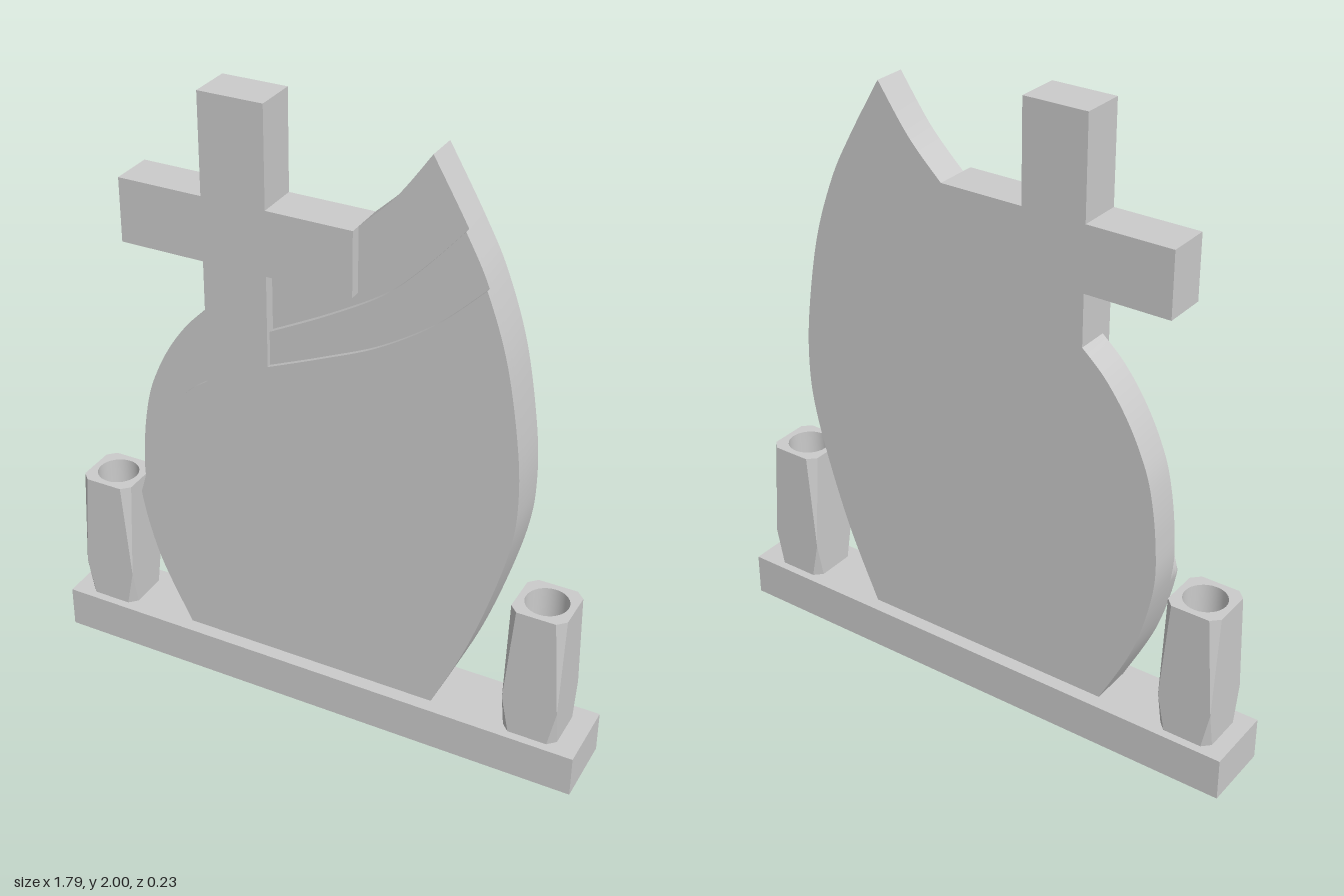
import * as THREE from 'three';
import { toCreasedNormals } from 'three/addons/utils/BufferGeometryUtils.js';

const stone = new THREE.MeshStandardMaterial({ color: 0xcccccc });
const stoneFlat = new THREE.MeshStandardMaterial({ color: 0xcccccc, flatShading: true });
const stoneDouble = new THREE.MeshStandardMaterial({ color: 0xcccccc, side: THREE.DoubleSide });

const BASE_TOP = 0.14;
const BACK = -0.07, FRONT = 0.07;
// Cross limits: post sides, arm ends, arm heights, foot of the post
const POST_L = -0.355, POST_R = -0.148, ARM_L = -0.63, ARM_R = 0.125;
const ARM_LOW = 1.48, ARM_TOP = 1.685, FOOT = 1.08;

const v = (x, y) => new THREE.Vector2(x, y);

// Smooth curve through the given x, y pairs
function curve(...pairs) {
  const spline = new THREE.SplineCurve(pairs.map(([x, y]) => v(x, y)));
  return spline.getPoints((pairs.length - 1) * 8);
}

function plate(name, points, z0, z1) {
  const geo = new THREE.ExtrudeGeometry(new THREE.Shape(points), { depth: z1 - z0, bevelEnabled: false });
  geo.translate(0, 0, z0);
  const mesh = new THREE.Mesh(toCreasedNormals(geo, 0.5), stone);
  mesh.name = name;
  return mesh;
}

// Leaf-shaped slab: three layers, stepping back along two sweeping curves
function createSlab() {
  const right = curve([0.41, 0.14], [0.51, 0.37], [0.587, 0.6], [0.638, 0.8], [0.652, 0.95],
    [0.641, 1.13], [0.595, 1.39], [0.525, 1.6], [0.45, 1.75], [0.34, 1.94]);
  const left = curve([-0.355, 1.315], [-0.43, 1.245], [-0.5, 1.15], [-0.555, 1.045], [-0.593, 0.935],
    [-0.618, 0.77], [-0.618, 0.6], [-0.56, 0.37], [-0.45, 0.14]);
  const rightUpTo = (y) => right.filter((p) => p.y <= y + 1e-6);
  const leftFrom = (y) => left.filter((p) => p.y < y - 1e-6);
  const notch = [v(POST_R, FOOT), v(POST_L, FOOT)];

  const slab = new THREE.Group();
  slab.name = 'slab';
  slab.add(plate('slabBackLayer', [
    ...right,
    ...curve([0.34, 1.94], [0.235, 1.795], [ARM_R, ARM_TOP]).slice(1),
    v(ARM_R, ARM_LOW), v(POST_R, ARM_LOW), ...notch, ...left,
  ], BACK, 0.035));
  slab.add(plate('slabMiddleLayer', [
    ...rightUpTo(1.75),
    ...curve([0.45, 1.75], [0.325, 1.607], [0.21, 1.5], [0.04, 1.395], [POST_R, 1.295]).slice(1),
    ...notch,
    ...curve([POST_L, 1.155], [-0.468, 1.015], [-0.56, 0.84], [-0.618, 0.6]),
    ...leftFrom(0.6),
  ], 0.035, 0.055));
  slab.add(plate('slabFrontLayer', [
    ...rightUpTo(1.6),
    ...curve([0.525, 1.6], [0.38, 1.46], [0.21, 1.345], [0.04, 1.265], [POST_R, 1.185]).slice(1),
    ...notch,
    ...curve([POST_L, FOOT], [-0.44, 1.01], [-0.535, 0.865], [-0.618, 0.6]).slice(1),
    ...leftFrom(0.6),
  ], 0.055, FRONT));
  return slab;
}

// Latin cross set into the slab
function createCross() {
  return plate('cross', [
    v(POST_L, FOOT), v(POST_R, FOOT), v(POST_R, ARM_LOW), v(ARM_R, ARM_LOW), v(ARM_R, ARM_TOP),
    v(POST_R, ARM_TOP), v(POST_R, 2), v(POST_L, 2), v(POST_L, ARM_TOP), v(ARM_L, ARM_TOP),
    v(ARM_L, ARM_LOW), v(POST_L, ARM_LOW),
  ], BACK, FRONT);
}

// Square with its corners cut by c
function cutSquare(h, c) {
  const k = h - c;
  return [[h, -k], [h, k], [k, h], [-k, h], [-h, k], [-h, -k], [-k, -h], [k, -h]];
}

// Square vase whose corner cuts taper to nothing low on the body
function createVase(name, x) {
  const half = 0.088, top = 0.595, radius = 0.067, depth = 0.2;
  const rings = [[BASE_TOP, 0.025], [0.265, 0], [top, 0.026]]
    .map(([y, c]) => cutSquare(half, c).map(([px, pz]) => [px, y, pz]));
  const pos = [];
  for (let r = 0; r < 2; r++) {
    for (let i = 0; i < 8; i++) {
      const j = (i + 1) % 8, lo = rings[r], up = rings[r + 1];
      pos.push(...lo[i], ...up[i], ...lo[j], ...up[i], ...up[j], ...lo[j]);
    }
  }
  const bodyGeo = new THREE.BufferGeometry();
  bodyGeo.setAttribute('position', new THREE.Float32BufferAttribute(pos, 3));
  bodyGeo.computeVertexNormals();

  const rimShape = new THREE.Shape(cutSquare(half, 0.026).map(([px, pz]) => v(px, pz)));
  rimShape.holes.push(new THREE.Path().absarc(0, 0, radius, 0, Math.PI * 2, true));
  const rimGeo = new THREE.ShapeGeometry(rimShape, 16).rotateX(-Math.PI / 2).translate(0, top, 0);
  const boreGeo = new THREE.CylinderGeometry(radius, radius, depth, 32, 1, true).translate(0, top - depth / 2, 0);
  const floorGeo = new THREE.CircleGeometry(radius, 32).rotateX(-Math.PI / 2).translate(0, top - depth, 0);

  const vase = new THREE.Group();
  vase.name = name;
  const parts = [['vaseBody', bodyGeo, stoneFlat], ['vaseRim', rimGeo, stone],
    ['vaseBore', boreGeo, stoneDouble], ['vaseFloor', floorGeo, stone]];
  for (const [partName, geo, material] of parts) {
    const mesh = new THREE.Mesh(geo, material);
    mesh.name = partName;
    vase.add(mesh);
  }
  vase.position.x = x;
  return vase;
}

export function createModel() {
  const model = new THREE.Group();
  model.name = 'memorial';

  const base = new THREE.Mesh(new THREE.BoxGeometry(1.79, BASE_TOP, 0.23), stone);
  base.name = 'base';
  base.position.y = BASE_TOP / 2;

  model.add(base, createSlab(), createCross(), createVase('rightVase', -0.752), createVase('leftVase', 0.737));
  return model;
}
